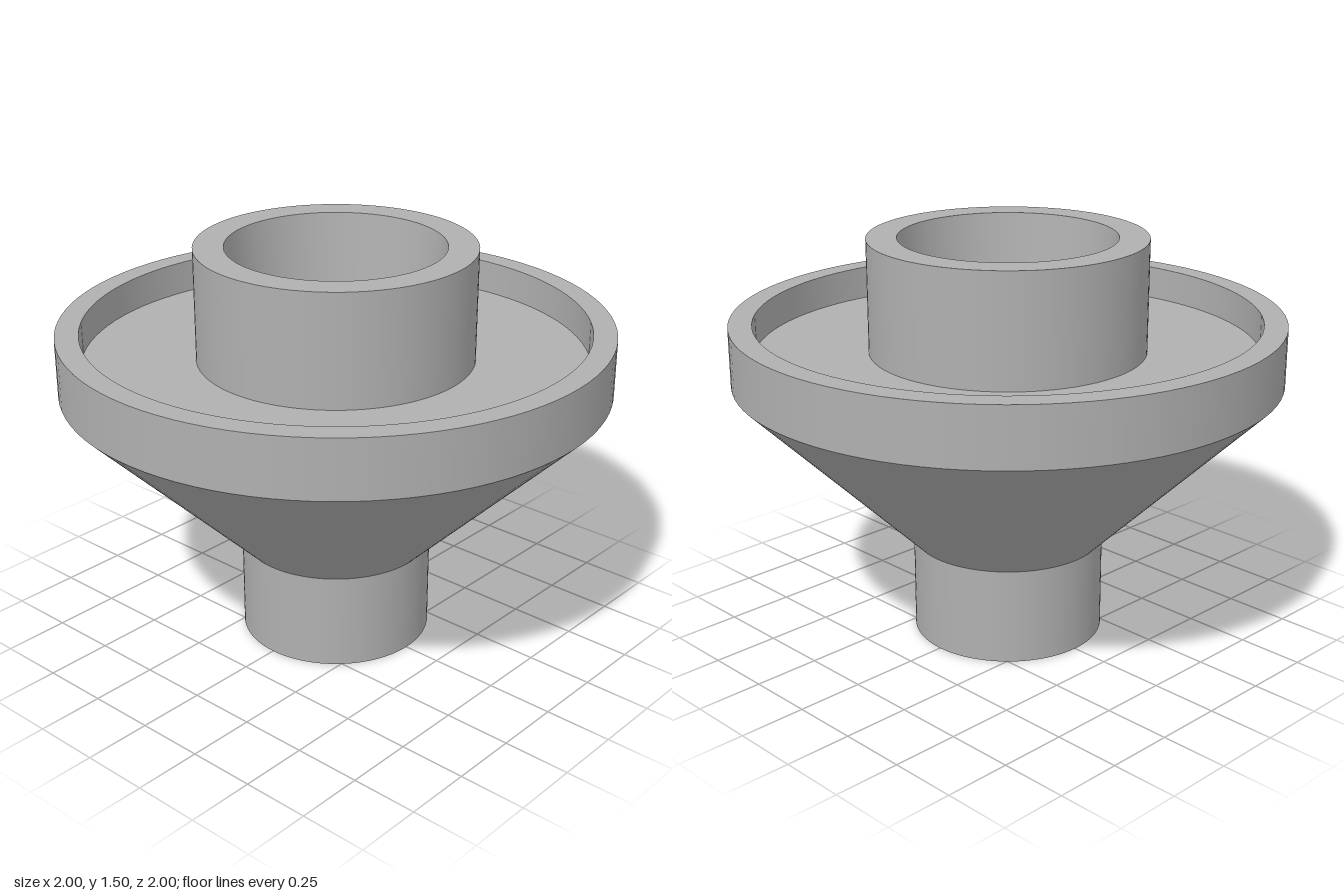
import * as THREE from 'three';
import { mergeGeometries } from 'three/addons/utils/BufferGeometryUtils.js';

const SEGMENTS = 96;

// Revolve a profile around y, one band per profile edge so every corner stays sharp.
function revolve(profile) {
  const points = profile.map(([r, y]) => new THREE.Vector2(r, y));
  const bands = [];
  for (let i = 0; i < points.length - 1; i++) {
    bands.push(new THREE.LatheGeometry([points[i], points[i + 1]], SEGMENTS));
  }
  return mergeGeometries(bands);
}

export function createModel() {
  const group = new THREE.Group();
  const grey = new THREE.MeshStandardMaterial({ color: 0xb0b0b0 });
  grey.name = 'grey';

  const parts = {
    // Lower spigot with a blind bore
    lowerSpigot: [[0, 0.36], [0.245, 0.36], [0.245, 0], [0.355, 0], [0.355, 0.36]],
    // Flared cone
    cone: [[0.355, 0.36], [1, 1]],
    // Upright rim around a shallow recessed tray
    rim: [[1, 1], [1, 1.215], [0.915, 1.215], [0.915, 1.09]],
    trayFloor: [[0.915, 1.09], [0.505, 1.09]],
    // Upper collar with a tapered socket
    upperCollar: [[0.505, 1.09], [0.505, 1.505], [0.395, 1.505], [0.335, 0.9], [0, 0.9]],
  };

  for (const [name, profile] of Object.entries(parts)) {
    const mesh = new THREE.Mesh(revolve(profile), grey);
    mesh.name = name;
    group.add(mesh);
  }
  return group;
}
